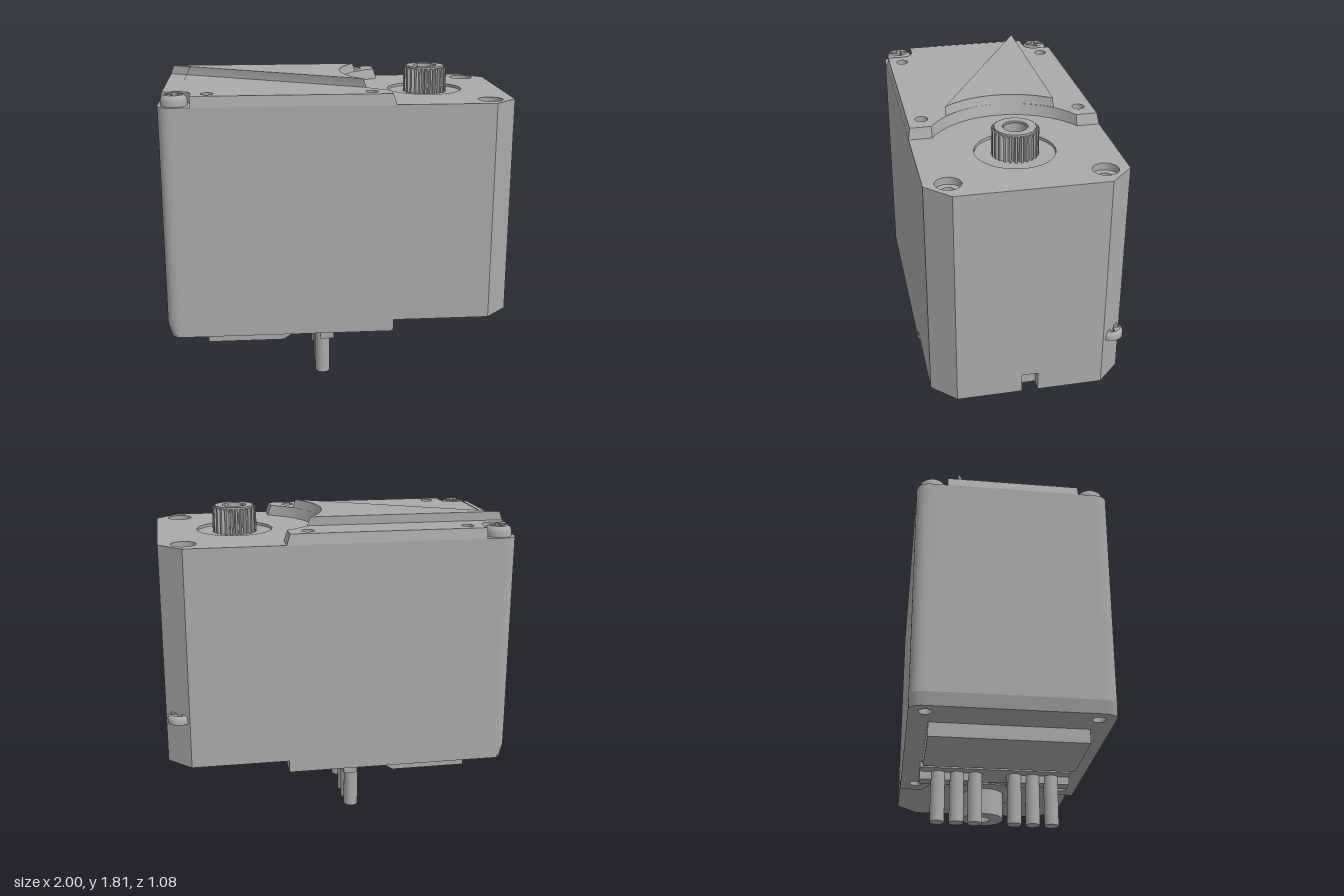
import * as THREE from 'three';
import { toCreasedNormals } from 'three/addons/utils/BufferGeometryUtils.js';

const grey = new THREE.MeshStandardMaterial({ color: 0xaaaaaa });
grey.name = 'plain grey';

const SHAFT_X = 0.55;

// circular hole or disc outline
function circle(x, z, r, Type = THREE.Path) {
  const p = new Type();
  p.absarc(x, -z, r, 0, Math.PI * 2);
  return p;
}

function polygon(points) {
  return new THREE.Shape(points.map(([x, z]) => new THREE.Vector2(x, -z)));
}

// plan outline pulled up from y0 to y1, with an optional rule for moving vertices
function slab(shape, y0, y1, holes = [], rule = null, bevel = 0) {
  shape.holes.push(...holes);
  let geo = new THREE.ExtrudeGeometry(shape, {
    depth: y1 - y0 - 2 * bevel, curveSegments: 20, bevelEnabled: bevel > 0,
    bevelSize: bevel, bevelThickness: bevel, bevelOffset: -bevel, bevelSegments: 2,
  });
  geo.rotateX(-Math.PI / 2).translate(0, y0 + bevel, 0);
  if (rule) {
    const pos = geo.attributes.position, v = new THREE.Vector3();
    for (let i = 0; i < pos.count; i++) {
      rule(v.fromBufferAttribute(pos, i));
      pos.setXYZ(i, v.x, v.y, v.z);
    }
  }
  return toCreasedNormals(geo, 0.5);
}

// case plan: rounded at -x, chamfered at +x, optional notch in the +x wall
function casePlan(notch) {
  const s = new THREE.Shape();
  s.moveTo(-0.92, -0.54);
  s.lineTo(0.87, -0.54);
  s.lineTo(1, -0.41);
  if (notch) for (const [x, y] of [[1, -0.045], [0.93, -0.045], [0.93, 0.045], [1, 0.045]]) s.lineTo(x, y);
  s.lineTo(1, 0.41);
  s.lineTo(0.87, 0.54);
  s.lineTo(-0.92, 0.54);
  s.quadraticCurveTo(-1, 0.54, -1, 0.46);
  s.lineTo(-1, -0.46);
  s.quadraticCurveTo(-1, -0.54, -0.92, -0.54);
  return s;
}

// top cover plan: screw pockets at -x, round cut-out about the shaft
function coverPlan() {
  const s = new THREE.Shape(), a = Math.atan2(0.41, 0.24);
  s.moveTo(-1, -0.37);
  s.lineTo(-0.9, -0.37);
  s.quadraticCurveTo(-0.82, -0.37, -0.82, -0.45);
  s.lineTo(-0.82, -0.54);
  s.lineTo(0.31, -0.54);
  s.lineTo(0.31, -0.41);
  s.absarc(SHAFT_X, 0, 0.475, Math.PI + a, Math.PI - a, true);
  s.lineTo(0.31, 0.54);
  s.lineTo(-0.82, 0.54);
  s.lineTo(-0.82, 0.45);
  s.quadraticCurveTo(-0.82, 0.37, -0.9, 0.37);
  s.lineTo(-1, 0.37);
  return s;
}

function raisedPlan() {
  const s = new THREE.Shape(), a = Math.asin(0.31 / 0.495);
  s.moveTo(-0.98, -0.31);
  s.absarc(SHAFT_X, 0, 0.495, Math.PI + a, Math.PI - a, true);
  s.lineTo(-0.98, 0.31);
  return s;
}

// cross-recessed screw head
function screwHead(r) {
  const g = new THREE.Group(), w = r * 0.16, l = r * 0.65;
  const cross = new THREE.Path([[l, w], [w, w], [w, l], [-w, l], [-w, w], [-l, w], [-l, -w], [-w, -w],
    [-w, -l], [w, -l], [w, -w], [l, -w]].map(([x, y]) => new THREE.Vector2(x, y)));
  const profile = [[r, 0], [r, 0.03], [r * 0.94, 0.045], [r * 0.75, 0.06]].map(([x, y]) => new THREE.Vector2(x, y));
  g.add(new THREE.Mesh(toCreasedNormals(new THREE.LatheGeometry(profile, 28), 0.6), grey));
  g.add(new THREE.Mesh(slab(circle(0, 0, r * 0.75, THREE.Shape), 0.025, 0.06, [cross]), grey));
  g.add(new THREE.Mesh(new THREE.CylinderGeometry(r * 0.95, r, 0.026, 28).translate(0, 0.013, 0), grey));
  return g;
}

export function createModel() {
  const model = new THREE.Group();
  const add = (name, geo) => {
    const m = new THREE.Mesh(geo, grey);
    m.name = name;
    model.add(m);
    return m;
  };
  const holes = (xs, z, r) => xs.flatMap(x => [circle(x, z, r), circle(x, -z, r)]);
  const cylinder = (r, y0, y1, x, z) => new THREE.CylinderGeometry(r, r, y1 - y0, 28).translate(x, (y0 + y1) / 2, z);

  // main case, layered around its notch and counterbored holes
  add('caseFoot', slab(casePlan(true), 0.4, 0.51));
  add('caseBody', slab(casePlan(), 0.51, 1.58));
  add('caseScrewHoles', slab(casePlan(), 1.58, 1.63, holes([0.86], 0.41, 0.035)));
  add('caseTop', slab(casePlan(), 1.63, 1.67, [...holes([0.86], 0.41, 0.07), circle(SHAFT_X, 0, 0.22)]));
  add('shaftRecess', cylinder(0.219, 1.6, 1.655, SHAFT_X, 0));

  // sloping walls of the top cover
  const slope = (base, dx) => v => {
    if (v.y < base + 0.02) return;
    const nearCut = Math.hypot(v.x - SHAFT_X, v.z) < 0.51 || v.x > 0.28;
    if (v.x < -0.95) v.x += dx;
    else if (nearCut) v.x -= dx;
    if (Math.abs(v.z) > 0.53) v.z *= 0.98;
  };
  add('topCover', slab(coverPlan(), 1.67, 1.73, holes([-0.73, 0.18], 0.45, 0.035), slope(1.67, 0.02)));
  add('raisedPanel', slab(raisedPlan(), 1.73, 1.774, [], slope(1.73, 0.015)));
  const label = new THREE.Path([[-0.86, -0.24], [-0.02, -0.24], [-0.02, 0.24], [-0.86, 0.24]]
    .map(([x, y]) => new THREE.Vector2(x, y)));
  add('panelRim', slab(raisedPlan(), 1.774, 1.78, [label], v => { v.x += v.x < -0.95 ? 0.015 : v.x > 0 ? -0.015 : 0; }));

  // output shaft with teeth
  const teeth = 25, pts = [];
  for (let i = 0; i < teeth; i++) {
    for (const [f, r] of [[0, 0.105], [0.25, 0.105], [0.45, 0.128], [0.8, 0.128]]) {
      const a = (i + f) / teeth * Math.PI * 2;
      pts.push([SHAFT_X + r * Math.cos(a), r * Math.sin(a)]);
    }
  }
  add('outputShaft', slab(polygon(pts), 1.65, 1.8, [circle(SHAFT_X, 0, 0.062)]));
  add('shaftTip', slab(circle(SHAFT_X, 0, 0.112, THREE.Shape), 1.79, 1.81, [circle(SHAFT_X, 0, 0.068)]));
  add('shaftBore', cylinder(0.062, 1.65, 1.71, SHAFT_X, 0));

  // screws on the cover and in the rear chamfer
  for (const [x, y, z, r] of [[-0.91, 1.67, 0.45, 0.075], [-0.91, 1.67, -0.45, 0.075], [0.925, 0.665, -0.475, 0.068]]) {
    const s = screwHead(r);
    s.name = 'screw';
    s.position.set(x, y, z);
    if (y < 1) s.scale.y = 0.8;
    model.add(s);
  }

  // bottom cover with a splayed cut-out
  const base = new THREE.Shape();
  base.moveTo(-0.92, -0.54);
  for (const [x, y] of [[0.31, -0.54], [0.31, -0.41], [0.1, -0.29], [0.1, 0.29], [0.31, 0.41], [0.31, 0.54], [-0.92, 0.54]]) base.lineTo(x, y);
  base.quadraticCurveTo(-1, 0.54, -1, 0.46);
  base.lineTo(-1, -0.46);
  base.quadraticCurveTo(-1, -0.54, -0.92, -0.54);
  add('bottomCover', slab(base, 0.33, 0.4, holes([-0.9, 0.2], 0.45, 0.035),
    v => { if (v.y < 0.36 && v.x < -0.95) v.x += 0.02; }));

  // sloped plate underneath
  const plate = new THREE.Shape([[-0.77, 0.34], [-0.77, 0.25], [-0.33, 0.25], [-0.19, 0.34]]
    .map(([x, y]) => new THREE.Vector2(x, y)));
  add('bottomPlate', new THREE.ExtrudeGeometry(plate, { depth: 0.86, bevelEnabled: false }).translate(0, 0, -0.43));

  // rear pivot boss
  add('pivotRing', cylinder(0.22, 0.392, 0.42, SHAFT_X, 0));
  add('pivotBoss', slab(circle(SHAFT_X, 0, 0.13, THREE.Shape), 0.225, 0.4, [circle(SHAFT_X, 0, 0.05)]));

  // cable connector and leads
  add('connectorBar', new THREE.BoxGeometry(0.22, 0.04, 0.88).translate(-0.07, 0.318, 0));
  for (const side of [-1, 1]) {
    add('connectorRib', new THREE.BoxGeometry(0.08, 0.05, 0.37).translate(-0.07, 0.276, side * 0.255));
    for (const z of [0.115, 0.222, 0.332]) add('lead', cylinder(0.042, 0, 0.31, -0.092, side * z));
  }
  return model;
}
